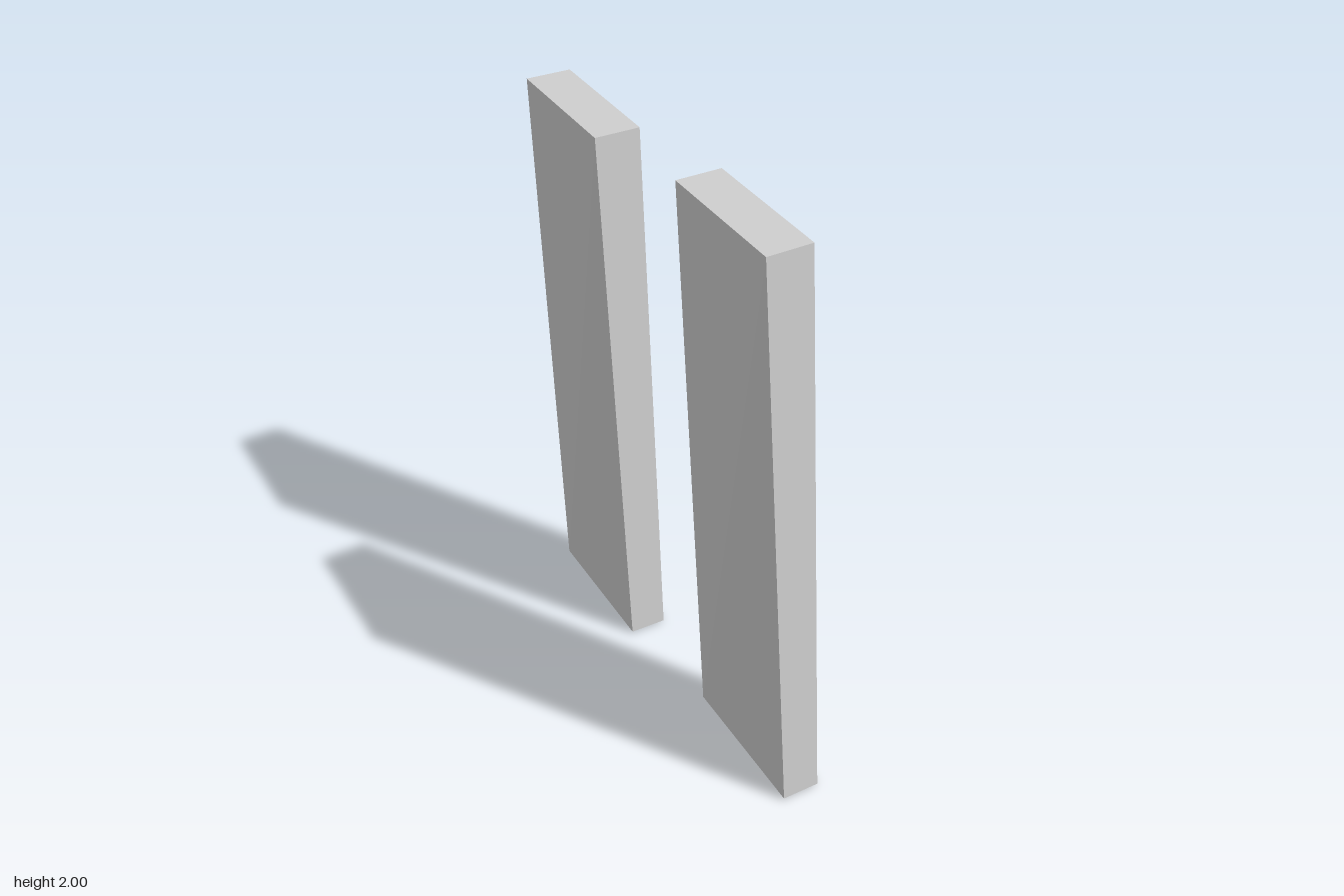
import * as THREE from 'three';

const V = (x, y, z) => new THREE.Vector3(x, y, z);

// End sections of a slab: centre, half-width vector, half-thickness vector (towards the front)
const TOP = { centre: V(-0.059, 1.985, -0.005), width: V(0.251, -0.0125, 0.15), thick: V(-0.031, 0.0025, 0.088) };
const BOTTOM = { centre: V(0.056, 0.0175, 0.0075), width: V(0.251, -0.0145, 0.146), thick: V(-0.027, 0.003, 0.067) };

// Leaning slab, thinner at the foot: each box corner moves to its end section
function slabGeometry() {
  const geometry = new THREE.BoxGeometry(2, 2, 2);
  const pos = geometry.attributes.position;
  for (let i = 0; i < pos.count; i++) {
    const end = pos.getY(i) > 0 ? TOP : BOTTOM;
    const p = end.centre.clone()
      .addScaledVector(end.width, pos.getX(i))
      .addScaledVector(end.thick, pos.getZ(i));
    pos.setXYZ(i, p.x, p.y, p.z);
  }
  geometry.computeVertexNormals();
  return geometry;
}

export function createModel() {
  const group = new THREE.Group();
  group.name = 'slabPair';
  const material = new THREE.MeshStandardMaterial({ color: 0xcccccc, flatShading: true });
  const geometry = slabGeometry();

  // Two identical slabs, staggered diagonally
  for (const [name, side] of [['leftSlab', 1], ['rightSlab', -1]]) {
    const slab = new THREE.Mesh(geometry, material);
    slab.name = name;
    slab.position.set(0.48 * side, 0, 0.26 * side);
    group.add(slab);
  }
  return group;
}
